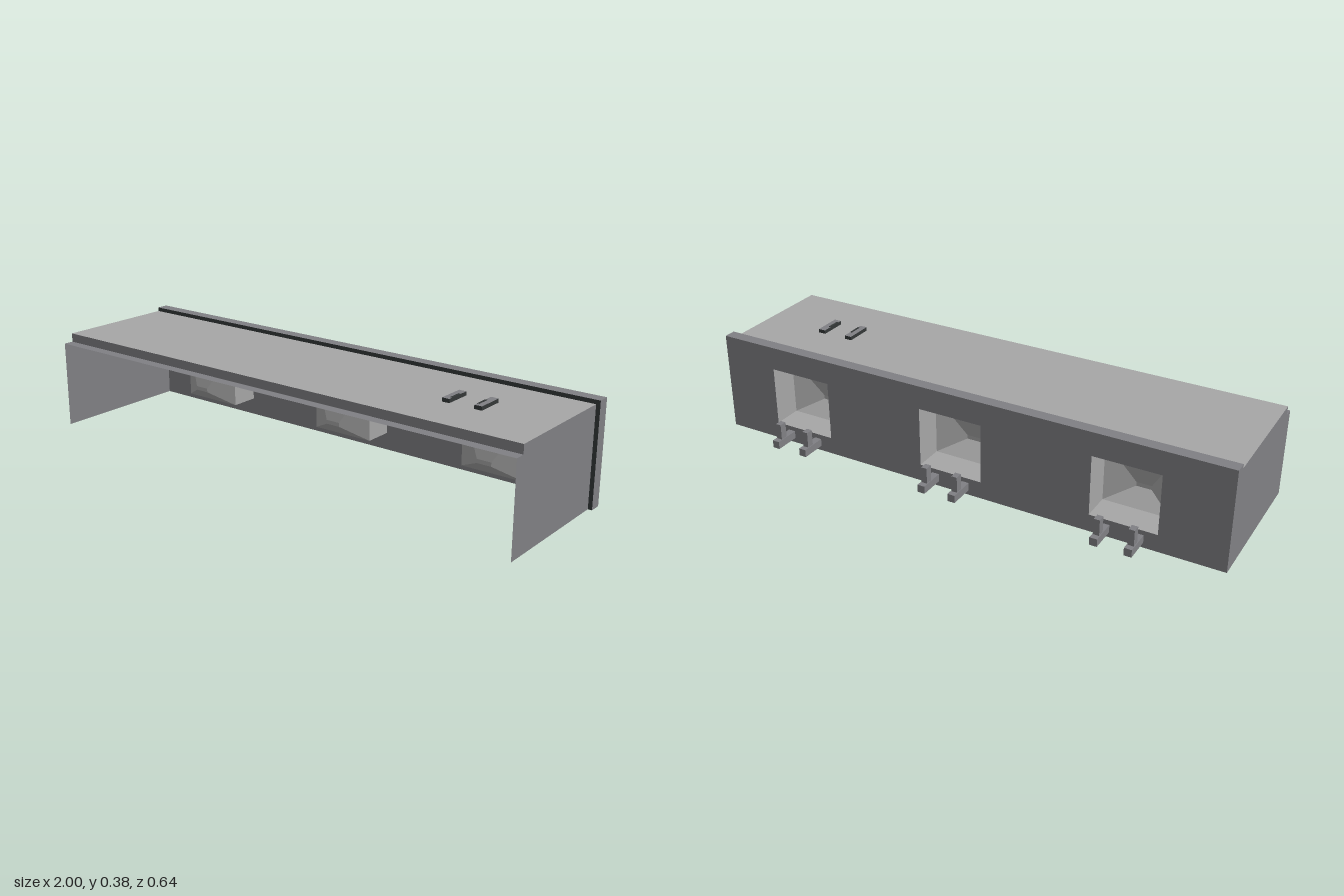
import * as THREE from 'three';

const mat = (name, color) => {
  const m = new THREE.MeshStandardMaterial({ color, side: THREE.DoubleSide });
  m.name = name;
  return m;
};

export function createModel() {
  const group = new THREE.Group();
  const grey = mat('wallGrey', 0x808084);
  const light = mat('lightGrey', 0xa6a6a6);
  const dark = mat('darkGrey', 0x343838);

  const add = (name, geometry, material, x = 0, y = 0, z = 0) => {
    const mesh = new THREE.Mesh(geometry, material);
    mesh.name = name;
    mesh.position.set(x, y, z);
    group.add(mesh);
    return mesh;
  };
  // Open sheet through quads given as four counter-clockwise corners
  const sheet = (name, quads, material) => {
    const pos = [];
    for (const [a, b, c, d] of quads) pos.push(...a, ...b, ...c, ...a, ...c, ...d);
    const g = new THREE.BufferGeometry();
    g.setAttribute('position', new THREE.Float32BufferAttribute(pos, 3));
    g.computeVertexNormals();
    return add(name, g, material);
  };
  // Sheet spanning x between two (z, y) profile points
  const span = (x0, x1, [z0, y0], [z1, y1]) =>
    [[x0, y1, z1], [x0, y0, z0], [x1, y0, z0], [x1, y1, z1]];

  const L = -1, R = 0.985, E = 1, back = -0.225, rim = -0.18;
  const top = 0.363, rimTop = 0.378, step = 0.33, stepZ = 0.285, front = 0.323;
  const bays = [-0.638, 0.022, 0.66];
  const hw = 0.123, y0 = 0.065, y1 = 0.29;

  // Top panel and its stepped front edge
  sheet('topPanel', [span(L, R, [stepZ, top], [rim, top])], light);
  sheet('frontStep', [span(L, R, [stepZ, step], [stepZ, top]),
    span(L, R, [front, step], [stepZ, step])], grey);

  // Side panels
  const side = new THREE.Shape([[-front, 0], [-rim, 0], [-rim, top], [-stepZ, top], [-stepZ, step], [-front, step]]
    .map(([u, v]) => new THREE.Vector2(u, v)));
  for (const [name, x] of [['leftSide', R], ['rightSide', L]]) {
    add(name, new THREE.ShapeGeometry(side), grey, x).rotation.y = Math.PI / 2;
  }

  // Back wall with a window for each pocket
  const wall = new THREE.Shape([[-E, 0], [E, 0], [E, rimTop], [-E, rimTop]].map(p => new THREE.Vector2(...p)));
  for (const c of bays) {
    wall.holes.push(new THREE.Path([[-c - hw, y0], [-c - hw, y1], [-c + hw, y1], [-c + hw, y0]]
      .map(p => new THREE.Vector2(...p))));
  }
  add('backWall', new THREE.ShapeGeometry(wall), grey, 0, 0, back).rotation.y = Math.PI;

  // Raised rim round the back wall, with dark forward faces
  sheet('backRim', [
    span(L, E, [rim, rimTop], [back, rimTop]),
    [[E, 0, rim], [E, 0, back], [E, rimTop, back], [E, rimTop, rim]],
    [[L, 0, back], [L, 0, rim], [L, rimTop, rim], [L, rimTop, back]],
  ], grey);
  sheet('rimFront', [
    span(L, E, [rim, top], [rim, rimTop]),
    [[R, 0, rim], [E, 0, rim], [E, top, rim], [R, top, rim]],
  ], dark);

  // Pockets: straight sleeve closed by a blunt pyramid, with two hooks behind
  const ring = (c, hx, lo, hi, z) => [[c - hx, lo, z], [c + hx, lo, z], [c + hx, hi, z], [c - hx, hi, z]];
  for (const c of bays) {
    const rings = [
      ring(c, hw, y0, y1, back),
      ring(c, hw, y0, y1, -0.115),
      ring(c, 0.028, 0.115, 0.13, -0.055),
    ];
    const quads = [rings[2]];
    for (let r = 0; r < 2; r++) {
      for (let i = 0; i < 4; i++) {
        const j = (i + 1) % 4;
        quads.push([rings[r][i], rings[r][j], rings[r + 1][j], rings[r + 1][i]]);
      }
    }
    sheet('pocket', quads, light);
    for (const s of [-1, 1]) {
      const x = c + s * 0.061;
      add('hookArm', new THREE.BoxGeometry(0.028, 0.029, 0.097), grey, x, 0.0335, -0.2735);
      add('hookPost', new THREE.BoxGeometry(0.022, 0.06, 0.028), grey, x, 0.078, -0.286);
    }
  }

  // Pair of low clips on the top panel, dark on their sides
  for (const s of [-1, 1]) {
    const x = 0.66 + s * 0.06;
    add('topClip', new THREE.BoxGeometry(0.028, 0.015, 0.103),
      [dark, dark, grey, grey, dark, dark], x, 0.3695, 0.051);
    add('clipSlot', new THREE.BoxGeometry(0.008, 0.002, 0.05), dark, x - s * 0.01, 0.377, 0.06);
  }
  return group;
}
